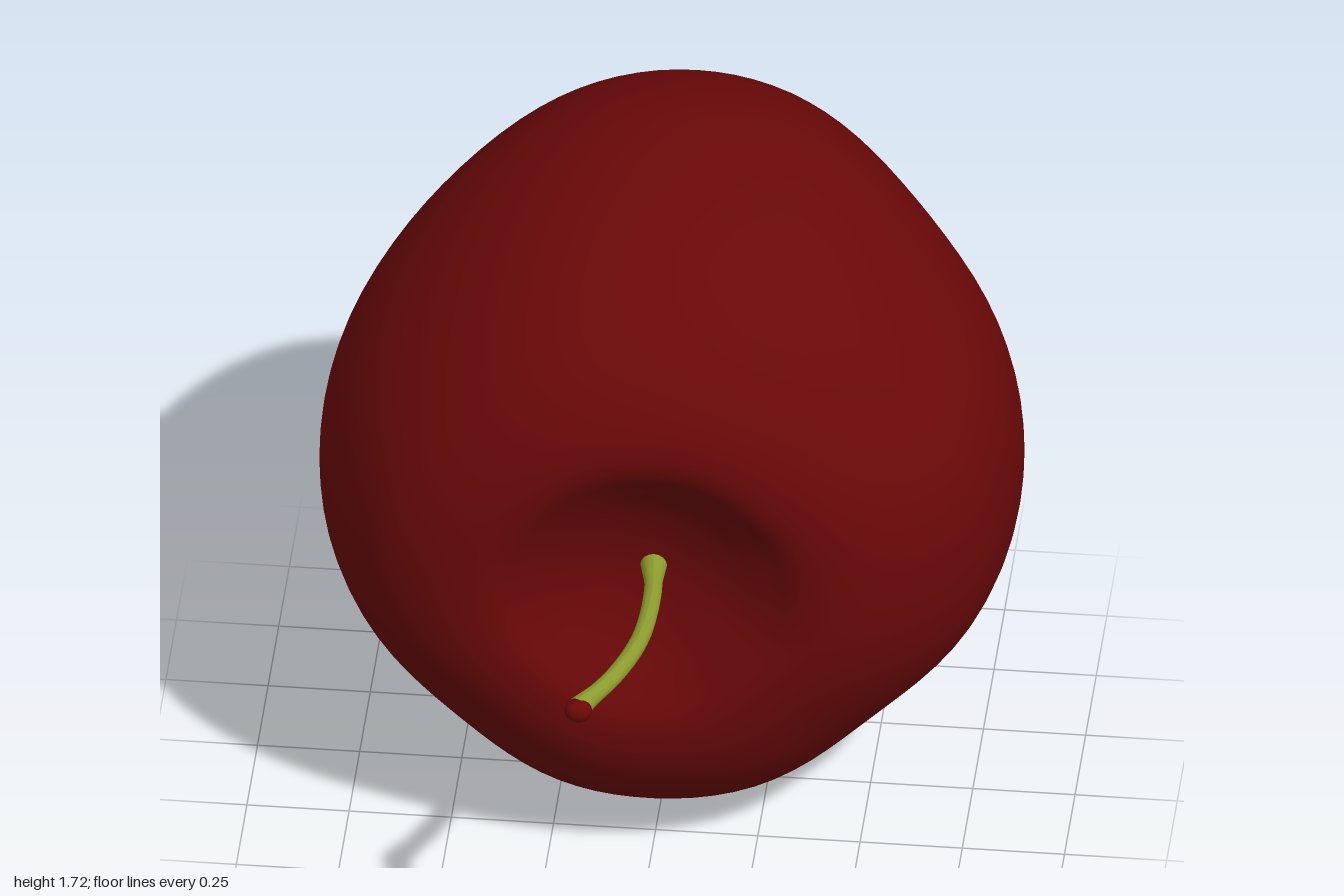
import * as THREE from 'three';
import { mergeVertices } from 'three/addons/utils/BufferGeometryUtils.js';

const AXIS_Y = 0.86;

// Cross-sections from stem hollow to blossom end: z, then radius at +x, -x, top, bottom
const SECTIONS = [
  [0.34, 0, 0, 0, 0],
  [0.355, 0.1, 0.1, 0.1, 0.1],
  [0.39, 0.2, 0.2, 0.2, 0.2],
  [0.44, 0.3, 0.3, 0.29, 0.29],
  [0.482, 0.39, 0.38, 0.37, 0.38],
  [0.478, 0.495, 0.48, 0.45, 0.48],
  [0.44, 0.59, 0.575, 0.535, 0.575],
  [0.378, 0.67, 0.665, 0.62, 0.66],
  [0.29, 0.74, 0.737, 0.7, 0.738],
  [0.18, 0.797, 0.798, 0.77, 0.797],
  [0.05, 0.835, 0.84, 0.818, 0.838],
  [-0.1, 0.855, 0.855, 0.848, 0.858],
  [-0.25, 0.85, 0.842, 0.86, 0.858],
  [-0.4, 0.81, 0.8, 0.852, 0.84],
  [-0.54, 0.74, 0.737, 0.815, 0.803],
  [-0.67, 0.655, 0.663, 0.755, 0.74],
  [-0.79, 0.56, 0.575, 0.665, 0.655],
  [-0.88, 0.47, 0.48, 0.55, 0.545],
  [-0.95, 0.375, 0.38, 0.415, 0.41],
  [-0.988, 0.28, 0.28, 0.285, 0.28],
  [-0.985, 0.19, 0.19, 0.19, 0.19],
  [-0.955, 0.11, 0.11, 0.1, 0.1],
  [-0.925, 0, 0, 0, 0],
];

function appleGeometry(rings = 132, sides = 96) {
  const curve = (pick) => new THREE.CatmullRomCurve3(
    SECTIONS.map((s) => new THREE.Vector3(...pick(s))), false, 'catmullrom', 0.5);
  const sideCurve = curve((s) => [s[0], s[1], s[2]]);
  const heightCurve = curve((s) => [s[3], s[4], 0]);
  const positions = [];
  const index = [];
  for (let i = 0; i <= rings; i++) {
    const s = sideCurve.getPoint(i / rings);
    const h = heightCurve.getPoint(i / rings);
    const back = THREE.MathUtils.smoothstep(-s.x, 0.75, 0.98);
    for (let j = 0; j < sides; j++) {
      const a = (j / sides) * Math.PI * 2;
      const c = Math.cos(a), n = Math.sin(a);
      // Blend the four radii and flatten the diagonals a little, most at lower +x
      const blend = c * c * (c > 0 ? s.y : s.z) + n * n * (n > 0 ? h.x : h.y);
      const r = blend * (1 - (0.038 - 0.022 * n + 0.01 * c) * Math.sin(2 * a) ** 4);
      const x = r * c, y = r * n;
      // Shoulder is taller on one side; blossom end leans upward with two side lobes
      const z = s.x - 0.055 * x * THREE.MathUtils.smoothstep(s.x, 0.1, 0.45)
        + back * (0.15 * (y * y - x * x) - 0.05 * y);
      positions.push(x, y + AXIS_Y, z);
      if (i < rings) {
        const k = (j + 1) % sides;
        const p = i * sides + j, q = i * sides + k;
        index.push(p, p + sides, q, p + sides, q + sides, q);
      }
    }
  }
  const geometry = new THREE.BufferGeometry();
  geometry.setAttribute('position', new THREE.Float32BufferAttribute(positions, 3));
  geometry.setIndex(index);
  const merged = mergeVertices(geometry, 1e-5);
  merged.computeVertexNormals();
  return merged;
}

// Curved tube that flares at both ends
function stemGeometry(path, steps = 40, sides = 16) {
  const geometry = new THREE.TubeGeometry(path, steps, 0.022, sides);
  const pos = geometry.attributes.position;
  const v = new THREE.Vector3();
  for (let i = 0; i < pos.count; i++) {
    const t = Math.floor(i / (sides + 1)) / steps;
    const centre = path.getPointAt(t);
    const flare = 1 + 0.5 * Math.max(0, 1 - t / 0.12) + 0.3 * Math.max(0, (t - 0.88) / 0.12);
    v.fromBufferAttribute(pos, i).sub(centre).multiplyScalar(flare).add(centre);
    pos.setXYZ(i, v.x, v.y, v.z);
  }
  geometry.computeVertexNormals();
  return geometry;
}

export function createModel() {
  const red = new THREE.MeshStandardMaterial({ color: 0x6a0808 });
  red.name = 'deep red';
  const green = new THREE.MeshStandardMaterial({ color: 0x8c9c2e });
  green.name = 'stem green';

  const group = new THREE.Group();
  group.name = 'apple';
  const add = (name, geometry, material) => {
    const mesh = new THREE.Mesh(geometry, material);
    mesh.name = name;
    group.add(mesh);
    return mesh;
  };

  add('fruit', appleGeometry(), red);

  const path = new THREE.CatmullRomCurve3([
    [0.005, 0.34], [0.015, 0.48], [0.003, 0.66], [-0.045, 0.82], [-0.117, 0.96],
  ].map(([x, z]) => new THREE.Vector3(x, AXIS_Y, z)));
  add('stem', stemGeometry(path), green);

  // Rounded cap on the cut end of the stem
  const tip = add('stemTip', new THREE.SphereGeometry(0.031, 20, 14), red);
  tip.position.set(-0.115, AXIS_Y, 0.968);
  tip.scale.set(1.1, 0.9, 1);

  return group;
}
